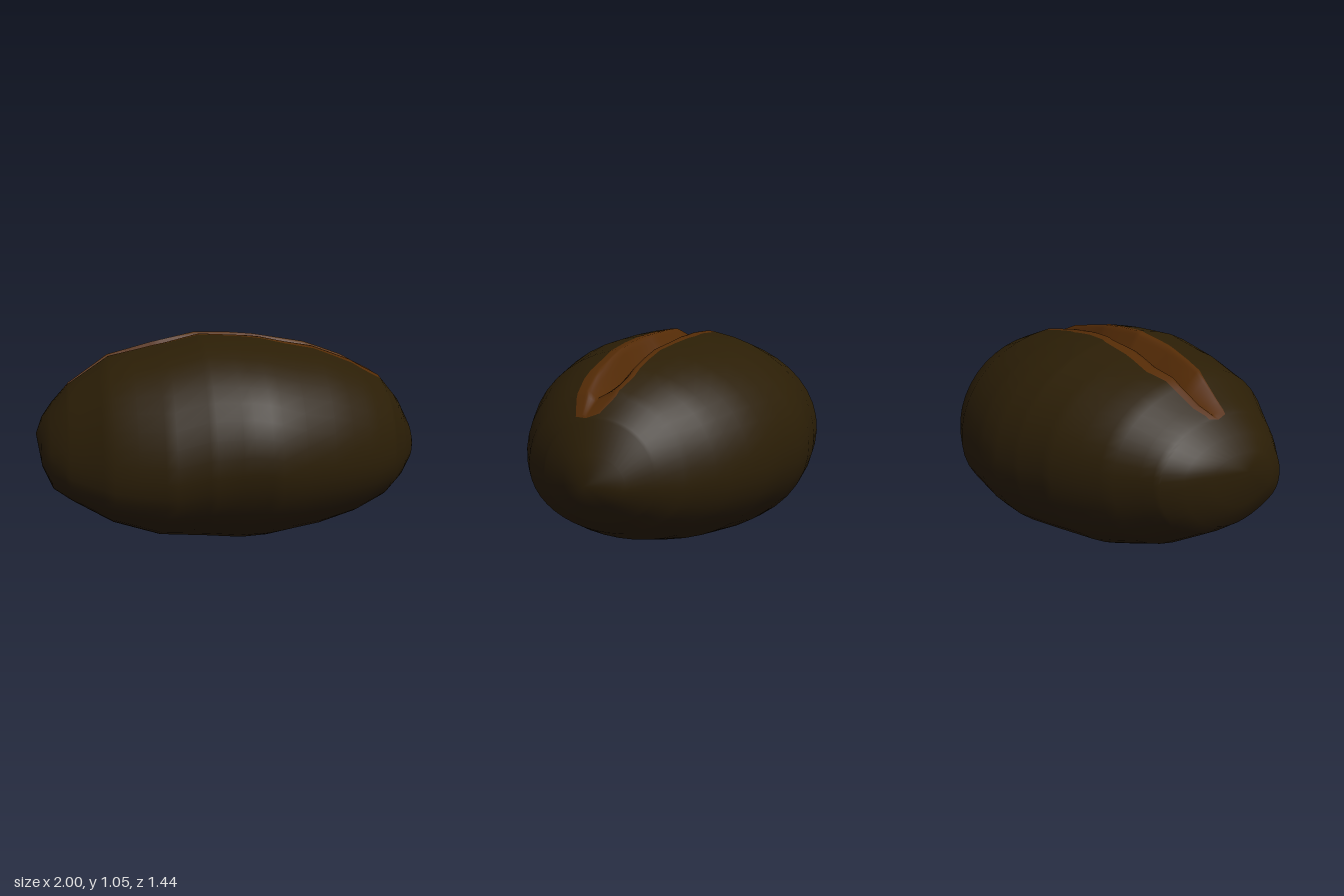
import * as THREE from 'three';
import { mergeVertices } from 'three/addons/utils/BufferGeometryUtils.js';

// Hull stations along the length: x, top y, bottom y, back z, front z
const HULL = [
  [-1, 0.55, 0.55, 0, 0], [-0.97, 0.63, 0.38, -0.19, 0.2], [-0.92, 0.7, 0.27, -0.32, 0.31],
  [-0.83, 0.8, 0.21, -0.42, 0.4], [-0.63, 0.94, 0.1, -0.56, 0.56], [-0.4, 1.0, 0.03, -0.66, 0.65],
  [-0.17, 1.05, 0.015, -0.705, 0.69], [0, 1.045, 0, -0.725, 0.71], [0.13, 1.035, 0.01, -0.71, 0.72],
  [0.4, 0.99, 0.05, -0.64, 0.63], [0.6, 0.92, 0.1, -0.53, 0.53], [0.76, 0.835, 0.17, -0.4, 0.42],
  [0.87, 0.71, 0.25, -0.28, 0.27], [0.95, 0.57, 0.34, -0.17, 0.13], [1, 0.44, 0.44, 0, 0],
];
// Groove stations: x, back edge z, front edge z, depth
const GROOVE = [
  [-1, 0, 0, 0], [-0.855, -0.05, -0.05, 0], [-0.845, -0.1, 0, 0], [-0.78, -0.14, 0.01, 0.03],
  [-0.68, -0.16, 0.03, 0.09], [-0.52, -0.19, 0.07, 0.15], [-0.35, -0.17, 0.1, 0.17],
  [-0.2, -0.17, 0.085, 0.17], [-0.05, -0.145, 0.105, 0.14], [0.08, -0.145, 0.12, 0.15],
  [0.25, -0.115, 0.16, 0.17], [0.5, -0.085, 0.165, 0.15], [0.66, -0.08, 0.175, 0.1],
  [0.78, -0.05, 0.15, 0.03], [0.845, 0, 0.12, 0], [0.86, 0.06, 0.06, 0], [1, 0, 0, 0],
];
const P = 2.04; // roundness of the cross-section
const SIDES = 40, ACROSS = 18;

// Linear lookup of a station table
function sample(table, x) {
  let i = 1;
  while (i < table.length - 1 && table[i][0] < x) i++;
  const a = table[i - 1], b = table[i], t = (x - a[0]) / (b[0] - a[0]);
  return a.map((v, k) => v + (b[k] - v) * t);
}

const power = (v) => Math.sign(v) * Math.abs(v) ** (2 / P);

// Section of the hull: a point for an angle, and the angle for a z on the upper side
function section(x) {
  const [, top, bottom, back, front] = sample(HULL, x);
  const cy = 0.495 - 0.055 * x;
  const sag = 0.24 * Math.max(0, -x) * Math.sqrt(1 - x * x); // front right flank hangs lower
  return {
    point(a) {
      const s = Math.sin(a), c = Math.cos(a);
      const y = cy + power(c) * (c > 0 ? top - cy : cy - bottom);
      return [x, y - sag * Math.max(0, s) ** 4, power(s) * (s > 0 ? front : -back)];
    },
    angle(z) {
      const w = z > 0 ? front : -back;
      const r = w > 0 ? Math.min(Math.abs(z) / w, 1) : 0;
      return Math.sign(z) * Math.asin(r ** (P / 2));
    },
  };
}

// Skin a list of equal-length rows of points
function loft(rows) {
  const n = rows[0].length, index = [];
  for (let i = 0; i < rows.length - 1; i++) {
    for (let j = 0; j < n - 1; j++) {
      const a = i * n + j, b = a + n;
      index.push(a, a + 1, b, a + 1, b + 1, b);
    }
  }
  const g = new THREE.BufferGeometry();
  g.setAttribute('position', new THREE.Float32BufferAttribute(rows.flat(2), 3));
  g.setIndex(index);
  const merged = mergeVertices(g, 1e-4);
  merged.computeVertexNormals();
  return merged;
}

export function createModel() {
  const shellBrown = new THREE.MeshStandardMaterial({ color: 0x2b1e06 });
  shellBrown.name = 'shellBrown';
  const grooveBrown = new THREE.MeshStandardMaterial({ color: 0x542b06, side: THREE.DoubleSide });
  grooveBrown.name = 'grooveBrown';

  const xs = [...new Set([...HULL, ...GROOVE].map((r) => r[0]))].sort((a, b) => a - b);

  // Shell: wraps from the groove's front edge, under the bean, to its back edge
  const shellRows = xs.map((x) => {
    const s = section(x), [, back, front] = sample(GROOVE, x);
    const a0 = s.angle(front), a1 = s.angle(back) + Math.PI * 2;
    return Array.from({ length: SIDES + 1 }, (_, j) => s.point(a0 + (a1 - a0) * j / SIDES));
  });

  // Groove: a V-shaped valley running slantwise between two flush lips
  const grooveRows = xs.filter((x) => Math.abs(x) <= 0.861).map((x) => {
    const s = section(x), [, back, front, depth] = sample(GROOVE, x);
    const a0 = s.angle(back), a1 = s.angle(front);
    const backLip = 0.18 - 0.12 * x, valley = 0.44 + 0.1 * x, frontLip = 0.84 - 0.16 * x;
    return Array.from({ length: ACROSS + 1 }, (_, j) => {
      const u = j / ACROSS, p = s.point(a0 + (a1 - a0) * u);
      const v = Math.min((u - backLip) / (valley - backLip), (frontLip - u) / (frontLip - valley));
      p[1] -= depth * Math.max(0, v);
      return p;
    });
  });

  const group = new THREE.Group();
  group.name = 'bean';
  const shell = new THREE.Mesh(loft(shellRows), shellBrown);
  shell.name = 'shell';
  const groove = new THREE.Mesh(loft(grooveRows), grooveBrown);
  groove.name = 'groove';
  group.add(shell, groove);
  return group;
}
